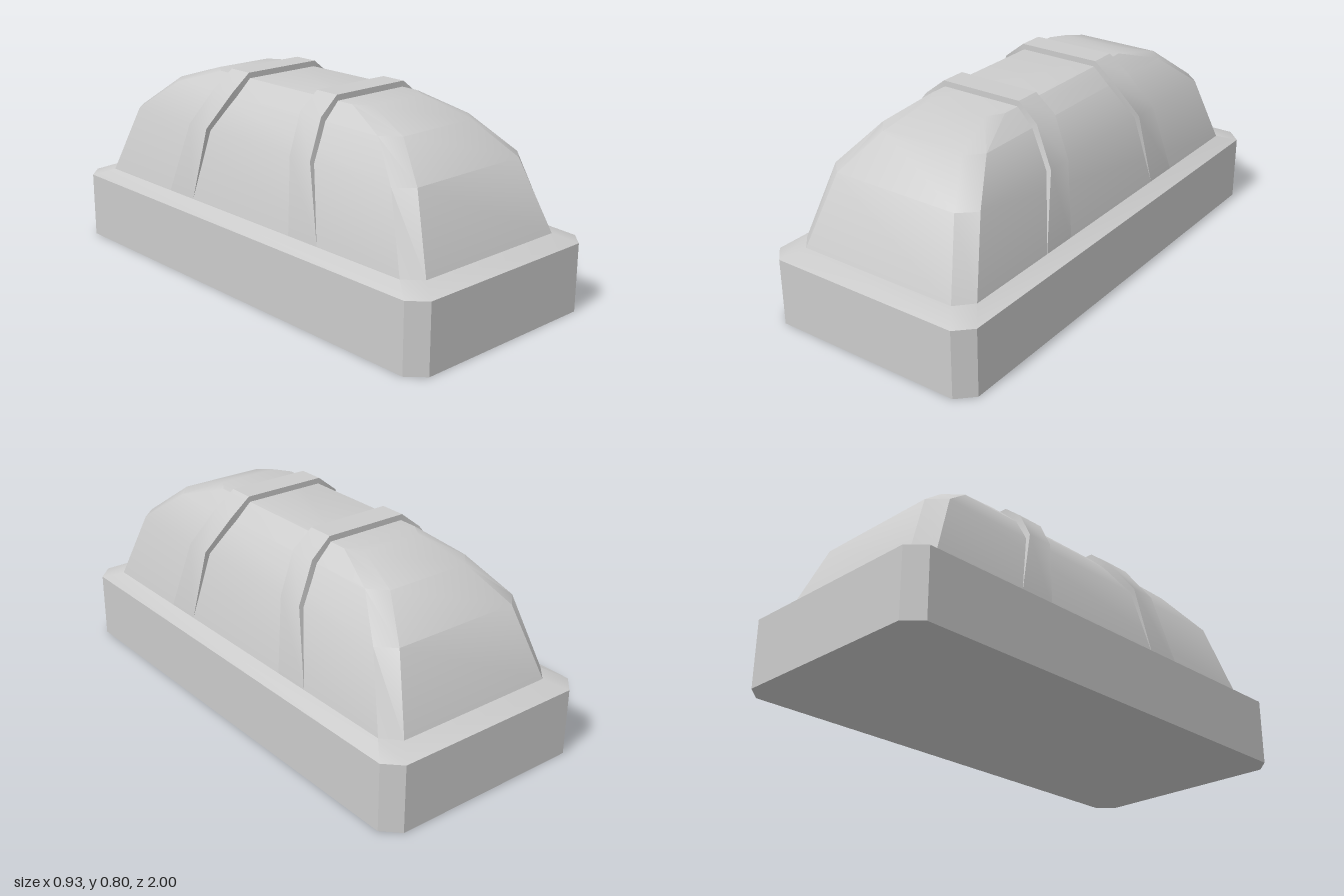
import * as THREE from 'three';
import { toCreasedNormals } from 'three/addons/utils/BufferGeometryUtils.js';

const material = new THREE.MeshStandardMaterial({ color: 0xcccccc });

// Skin a series of equal-length rings of [x, y, z] points and cap both ends.
function loft(name, rings, crease = 0.52) {
  const n = rings[0].length;
  const index = [];
  for (let i = 0; i < rings.length - 1; i++) {
    for (let j = 0; j < n; j++) {
      const a = i * n + j;
      const b = i * n + (j + 1) % n;
      index.push(a, a + n, b + n, a, b + n, b);
    }
  }
  const top = (rings.length - 1) * n;
  for (let j = 1; j < n - 1; j++) {
    index.push(0, j, j + 1, top, top + j + 1, top + j);
  }
  const geometry = new THREE.BufferGeometry();
  geometry.setAttribute('position', new THREE.Float32BufferAttribute(rings.flat(2), 3));
  geometry.setIndex(index);
  const mesh = new THREE.Mesh(toCreasedNormals(geometry, crease), material);
  mesh.name = name;
  return mesh;
}

// Rectangle with cut corners: half sizes hx, hz; cx, cz are the corner cuts.
function cutRectangle(y, hx, hz, cx, cz) {
  const x = hx - cx;
  const z = hz - cz;
  return [
    [hx, y, -z], [hx, y, z], [x, y, hz], [-x, y, hz],
    [-hx, y, z], [-hx, y, -z], [-x, y, -hz], [x, y, -hz],
  ];
}

// Arched strap across the dome, wider and thinner toward its feet.
function createBand(name, side) {
  // outer x, outer y, buried x, buried y, z of inner edge, z of outer edge
  const half = [
    [0.4, 0.305, 0.35, 0.28, 0.29, 0.445],
    [0.355, 0.595, 0.29, 0.56, 0.25, 0.36],
    [0.26, 0.735, 0.2, 0.68, 0.2, 0.315],
    [0.175, 0.803, 0.14, 0.73, 0.2, 0.308],
  ];
  const ring = ([ox, oy, ix, iy, z0, z1], sx) => {
    const low = side > 0 ? z0 : -z1;
    const high = side > 0 ? z1 : -z0;
    return [[sx * ox, oy, low], [sx * ox, oy, high], [sx * ix, iy, high], [sx * ix, iy, low]];
  };
  const rings = [
    ...half.map((s) => ring(s, 1)),
    ...half.slice().reverse().map((s) => ring(s, -1)),
  ];
  return loft(name, rings);
}

export function createModel() {
  const model = new THREE.Group();
  model.name = 'domedBlock';

  // Plinth with cut corners and a bevelled rim
  model.add(loft('base', [
    cutRectangle(0, 0.463, 1, 0.063, 0.063),
    cutRectangle(0.272, 0.463, 1, 0.063, 0.063),
    cutRectangle(0.305, 0.4, 0.92, 0.06, 0.065),
  ], 0.4));

  // Rounded housing
  model.add(loft('dome', [
    cutRectangle(0.305, 0.4, 0.92, 0.06, 0.065),
    cutRectangle(0.585, 0.335, 0.805, 0.065, 0.06),
    cutRectangle(0.715, 0.24, 0.65, 0.06, 0.065),
    cutRectangle(0.78, 0.17, 0.45, 0.04, 0.065),
  ]));

  // Raised straps
  model.add(createBand('frontBand', 1), createBand('backBand', -1));
  return model;
}
